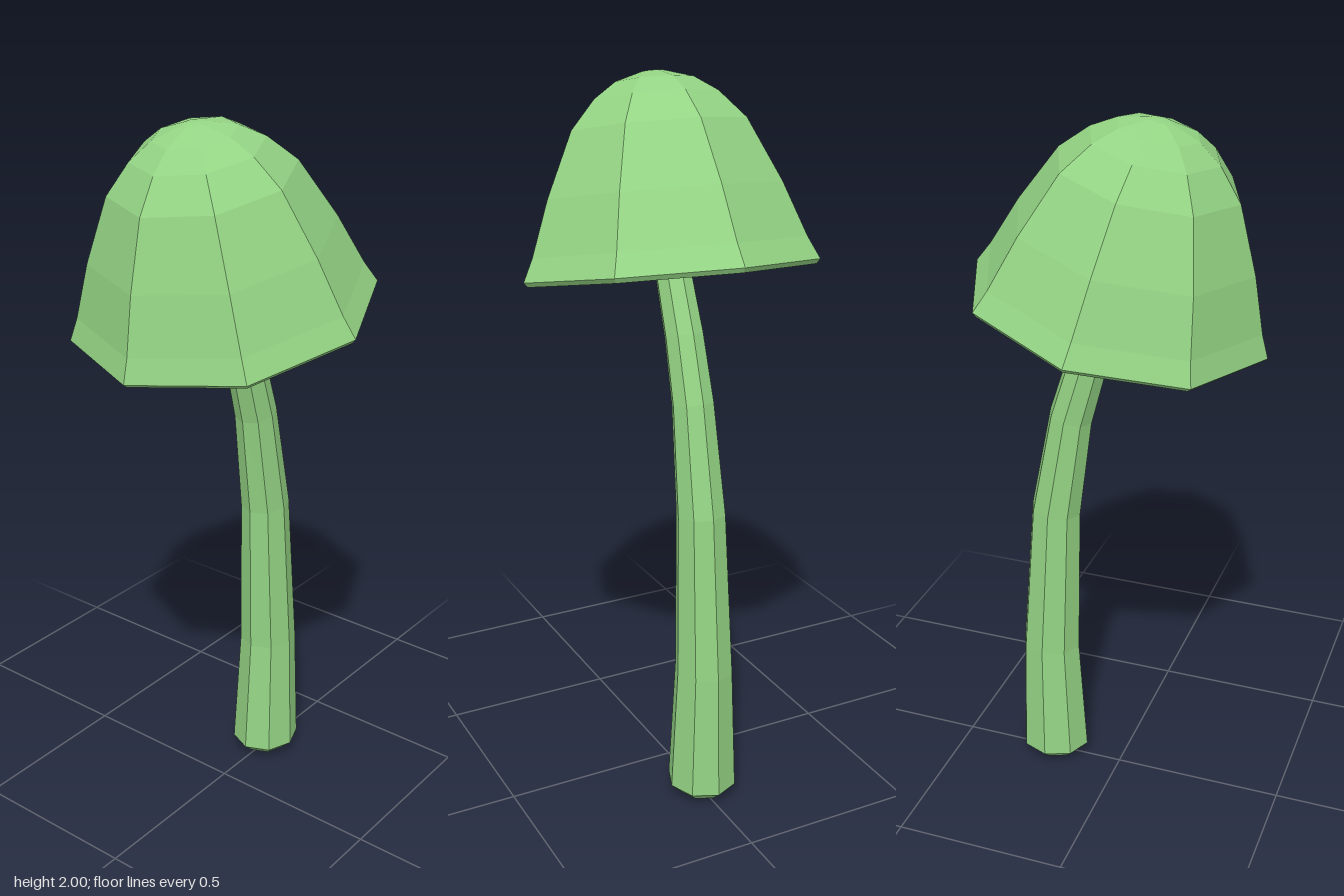
import * as THREE from 'three';

const SIDES = 8;
const material = (color) => new THREE.MeshStandardMaterial({ color, flatShading: true, side: THREE.DoubleSide });

// Faceted surface of revolution from [radius, height] pairs
function lathe(profile) {
  return new THREE.LatheGeometry(profile.map(([r, h]) => new THREE.Vector2(r, h)), SIDES);
}

// Tapered stem: each section is [centre x, centre y, radius, lean in radians]
function stemGeometry(sections) {
  const geo = lathe(sections.map(([, , r], i) => [r, i]));
  const pos = geo.attributes.position;
  for (let i = 0; i < pos.count; i++) {
    const [cx, cy, , lean] = sections[Math.round(pos.getY(i))];
    const x = pos.getX(i);
    pos.setXYZ(i, cx + x * Math.cos(lean), cy + x * Math.sin(lean), pos.getZ(i) * 0.93);
  }
  geo.computeVertexNormals();
  return geo;
}

export function createModel() {
  const group = new THREE.Group();
  const green = material(0x94d484);
  const brown = material(0x94826a);

  // Curved stem with a bevelled foot
  const stem = new THREE.Mesh(stemGeometry([
    [0.21, 0, 0, 0],
    [0.21, 0.01, 0.07, 0],
    [0.21, 0.04, 0.104, 0],
    [0.216, 0.4, 0.087, 0.02],
    [0.192, 0.86, 0.073, 0.11],
    [0.142, 1.16, 0.062, 0.23],
    [0.09, 1.335, 0.057, 0.34],
    [0.02, 1.51, 0.052, 0.4],
    [-0.025, 1.62, 0.05, 0.4],
  ]), green);
  stem.name = 'stem';
  group.add(stem);

  // Tilted cap: outer dome with a flared rim, and a hollow underside
  const cap = new THREE.Group();
  cap.name = 'cap';
  cap.position.set(0, 1.495, 0);
  cap.rotation.set(-0.02, 0, 0.215);

  const dome = new THREE.Mesh(lathe([
    [0.382, -0.003], [0.402, -0.012], [0.413, 0], [0.383, 0.06], [0.327, 0.205],
    [0.245, 0.373], [0.174, 0.449], [0.11, 0.491], [0.03, 0.515], [0, 0.517],
  ]), green);
  dome.name = 'dome';

  const underside = new THREE.Mesh(lathe([[0, 0.12], [0.382, -0.003]]), brown);
  underside.name = 'underside';

  cap.add(dome, underside);
  group.add(cap);
  return group;
}
